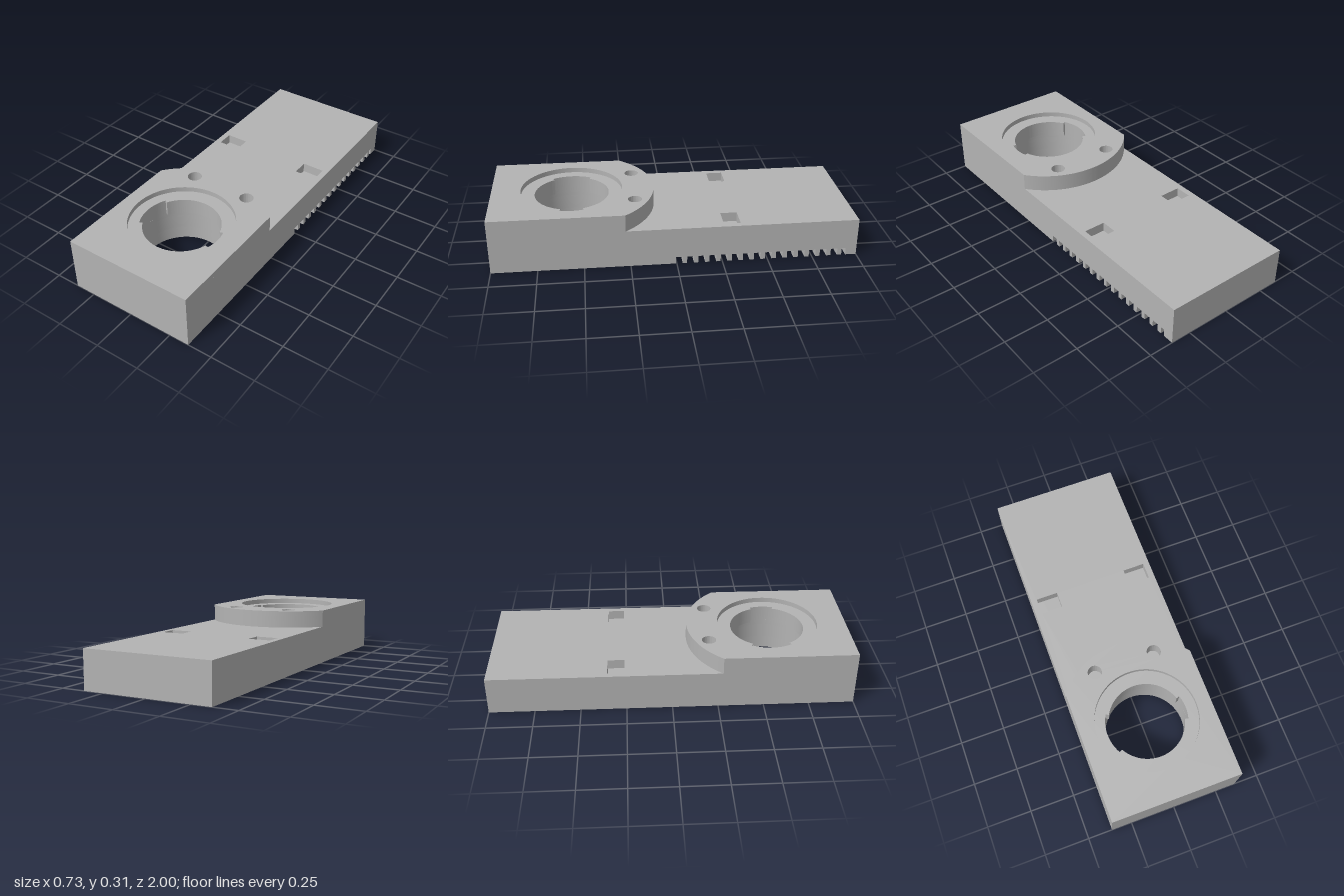
import * as THREE from 'three';
import { toCreasedNormals } from 'three/addons/utils/BufferGeometryUtils.js';

const W = 0.364, L = 1, WALL = 0.06;          // half width, half length, wall thickness
const CEILING = 0.075, DECK = 0.213, TOP = 0.308;
const CZ = 0.555, BORE = 0.225, LIP = 0.207;  // socket centre and radii

// Plan shapes use (x, -z), so they extrude upward after rotation.
const polygon = (pts, Type = THREE.Shape) => new Type(pts.map(([x, z]) => new THREE.Vector2(x, -z)));
const rect = (x0, z0, x1, z1, Type) => polygon([[x0, z1], [x1, z1], [x1, z0], [x0, z0]], Type);
const circle = (x, z, r, Type = THREE.Path) => new Type().absarc(x, -z, r, 0, Math.PI * 2, false);

// Narrow bore with a wide slot on the right and a narrower one on the left
function slottedBore() {
  const a = 0.3, b = Math.PI - 0.51, p = new THREE.Path();
  p.absarc(0, -CZ, BORE, -a, a, false);
  p.absarc(0, -CZ, LIP, a, b, false);
  p.absarc(0, -CZ, BORE, b, 2 * Math.PI - b, false);
  p.absarc(0, -CZ, LIP, 2 * Math.PI - b, 2 * Math.PI - a, false);
  p.closePath();
  return p;
}

// Front platform outline with an arched rear edge
function platformShape() {
  const r = 0.46, a = Math.acos(W / r);
  const s = new THREE.Shape();
  s.moveTo(-W, -L);
  s.lineTo(W, -L);
  s.absarc(0, -CZ, r, a, Math.PI - a, false);
  s.closePath();
  return s;
}

export function createModel() {
  const group = new THREE.Group();
  const grey = new THREE.MeshStandardMaterial({ color: 0xb3b3b3 });

  const add = (name, geometry) => {
    const mesh = new THREE.Mesh(toCreasedNormals(geometry, 0.5), grey);
    mesh.name = name;
    group.add(mesh);
  };
  const extrude = (shape, depth) =>
    new THREE.ExtrudeGeometry(shape, { depth, bevelEnabled: false, curveSegments: 48 });
  const layer = (name, shape, holes, y0, y1) => {
    shape.holes.push(...holes);
    add(name, extrude(shape, y1 - y0).rotateX(-Math.PI / 2).translate(0, y0, 0));
  };
  const plate = () => rect(-W, -L, W, L);
  const bore = () => circle(0, CZ, BORE);
  const pockets = () => [-1, 1].map((s) =>
    rect(s * 0.268 - 0.062, -0.35, s * 0.268 + 0.062, -0.258, THREE.Path));
  const screwHoles = () => [-1, 1].map((s) => circle(s * 0.173, 0.21, 0.039));

  // Front, back and right skirt walls
  const i = W - WALL, e = L - WALL;
  layer('skirtWalls', polygon([[W, L], [W, e], [-i, e], [-i, -e], [W, -e], [W, -L], [-W, -L], [-W, L]]),
    [], 0, CEILING);

  // Left skirt wall with a row of notches along its lower edge
  const profile = [[-e, CEILING], [-e, 0]];
  for (let n = 0; n < 16; n++) {
    const s = -0.005 + n * 0.0615, t = s + 0.037;
    profile.push([s, 0], [s, 0.04], [Math.min(t, e), 0.04], [Math.min(t, e), 0]);
  }
  profile.push([e, CEILING]);
  // Last notch reaches slightly past the inner corner, so it stops there
  const wall = new THREE.Shape(profile.map(([x, y]) => new THREE.Vector2(x, y)));
  add('notchedWall', extrude(wall, WALL).rotateY(Math.PI / 2).translate(i, 0, 0));

  // Socket tube hanging inside the hollow underside
  layer('socketTube', circle(0, CZ, 0.29, THREE.Shape), [bore()], 0, CEILING);

  // Deck, with blind pockets and the socket bore
  layer('deckBase', plate(), [bore()], CEILING, 0.16);
  layer('deckMiddle', plate(), [bore(), ...pockets()], 0.16, 0.19);
  layer('deckTop', plate(), [slottedBore(), ...pockets()], 0.19, DECK);

  // Raised platform with screw holes, slotted lip and round recess
  layer('platformBase', platformShape(), [slottedBore(), ...screwHoles()], DECK, 0.28);
  layer('platformTop', platformShape(), [circle(0, CZ, 0.283), ...screwHoles()], 0.28, TOP);

  return group;
}
